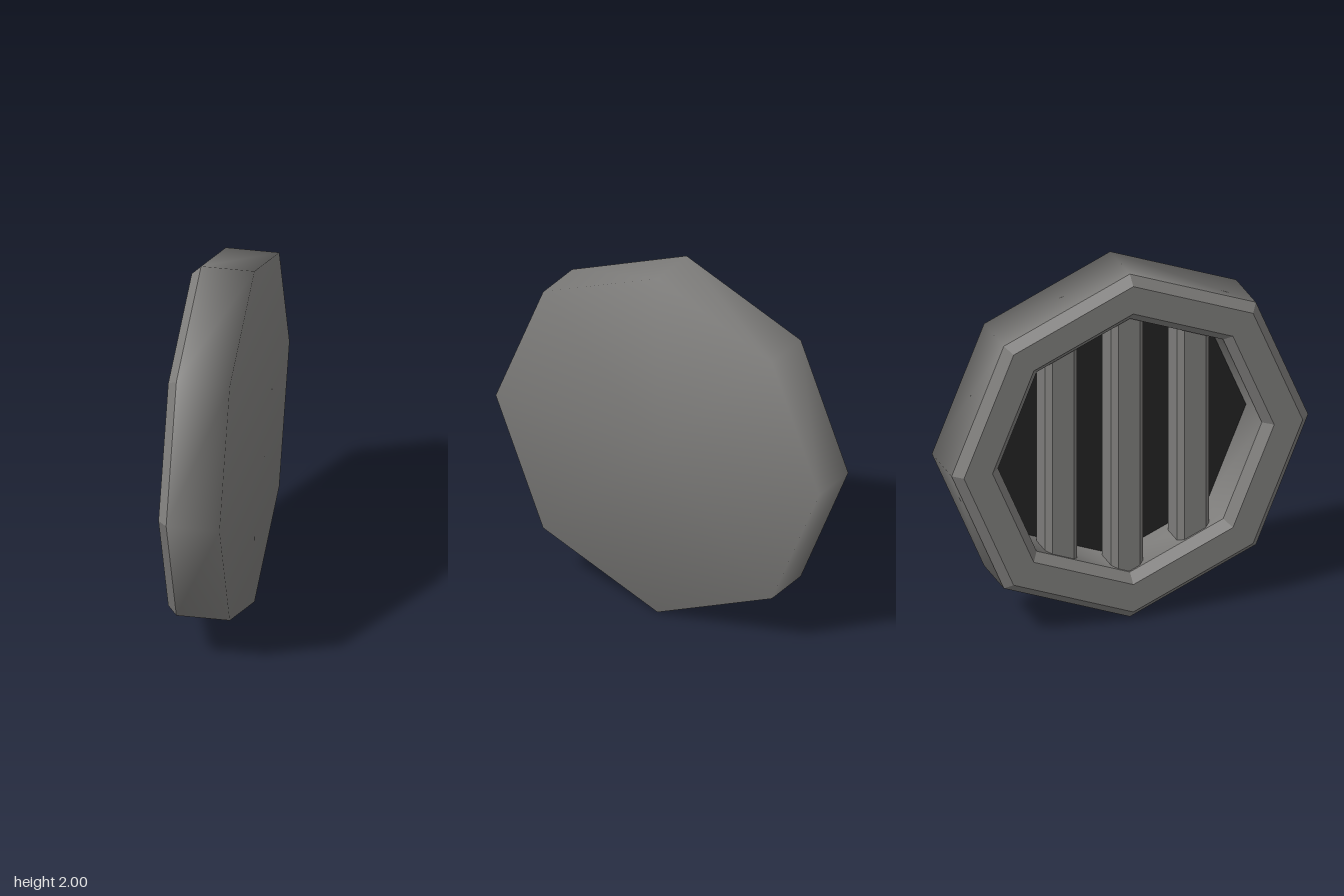
import * as THREE from 'three';
import { mergeVertices } from 'three/addons/utils/BufferGeometryUtils.js';

const FRONT = -0.167, BACK = 0.167, STEP = 0.05;
const RIM = 1, HOLE = 0.74, FLOOR = 0.11;

// Octagonal band around the x axis; profile points are [radius, x], from closed to open side
function octagonBand(profile, smooth) {
  const points = profile.map(([r, x]) => new THREE.Vector2(r, -x));
  let geo = new THREE.LatheGeometry(points, 8);
  geo.rotateZ(Math.PI / 2);
  geo.deleteAttribute('normal');
  geo.deleteAttribute('uv');
  geo = smooth ? mergeVertices(geo, 1e-4) : geo.toNonIndexed();
  geo.computeVertexNormals();
  return geo;
}

// Upright bar with two bevelled corners on its open side
function barGeometry(halfLength) {
  const w = 0.09, b = 0.03, x0 = -0.107, x1 = 0.05;
  const shape = new THREE.Shape([
    [x1, -w], [x1, w], [x0 + b, w], [x0, w - b], [x0, b - w], [x0 + b, -w],
  ].map(([x, z]) => new THREE.Vector2(x, z)));
  const geo = new THREE.ExtrudeGeometry(shape, { depth: 2 * halfLength, bevelEnabled: false });
  geo.translate(0, 0, -halfLength);
  geo.rotateX(-Math.PI / 2);
  return geo;
}

export function createModel() {
  const group = new THREE.Group();
  group.name = 'octagonalVent';
  const metal = new THREE.MeshStandardMaterial({ color: 0x7d7c7a });
  metal.name = 'grey metal';
  const dark = new THREE.MeshStandardMaterial({ color: 0x222222 });
  dark.name = 'dark backing';

  const add = (name, geo, material = metal) => {
    const mesh = new THREE.Mesh(geo, material);
    mesh.name = name;
    mesh.position.y = 1;
    group.add(mesh);
    return mesh;
  };

  // Closed face and outer wall, softly shaded together
  add('outerShell', octagonBand([[0, BACK], [RIM, BACK], [RIM, FRONT + STEP]], true));

  // Flat rim, bevelled on its outer and inner edge
  add('rim', octagonBand([
    [RIM, FRONT + STEP], [RIM - STEP, FRONT], [HOLE + STEP, FRONT], [HOLE, FRONT + STEP],
  ], false));

  // Recess wall behind the rim and the dark panel that closes it
  add('recessWall', octagonBand([[HOLE, FRONT + STEP], [HOLE, FLOOR]], true));
  add('recessPanel', octagonBand([[HOLE, FLOOR], [0, FLOOR]], true), dark);

  // Three upright bars, their ends sunk in the recess wall
  for (const i of [-1, 0, 1]) {
    add('bar', barGeometry(i === 0 ? 0.78 : 0.68)).position.z = i * 0.37;
  }
  return group;
}
